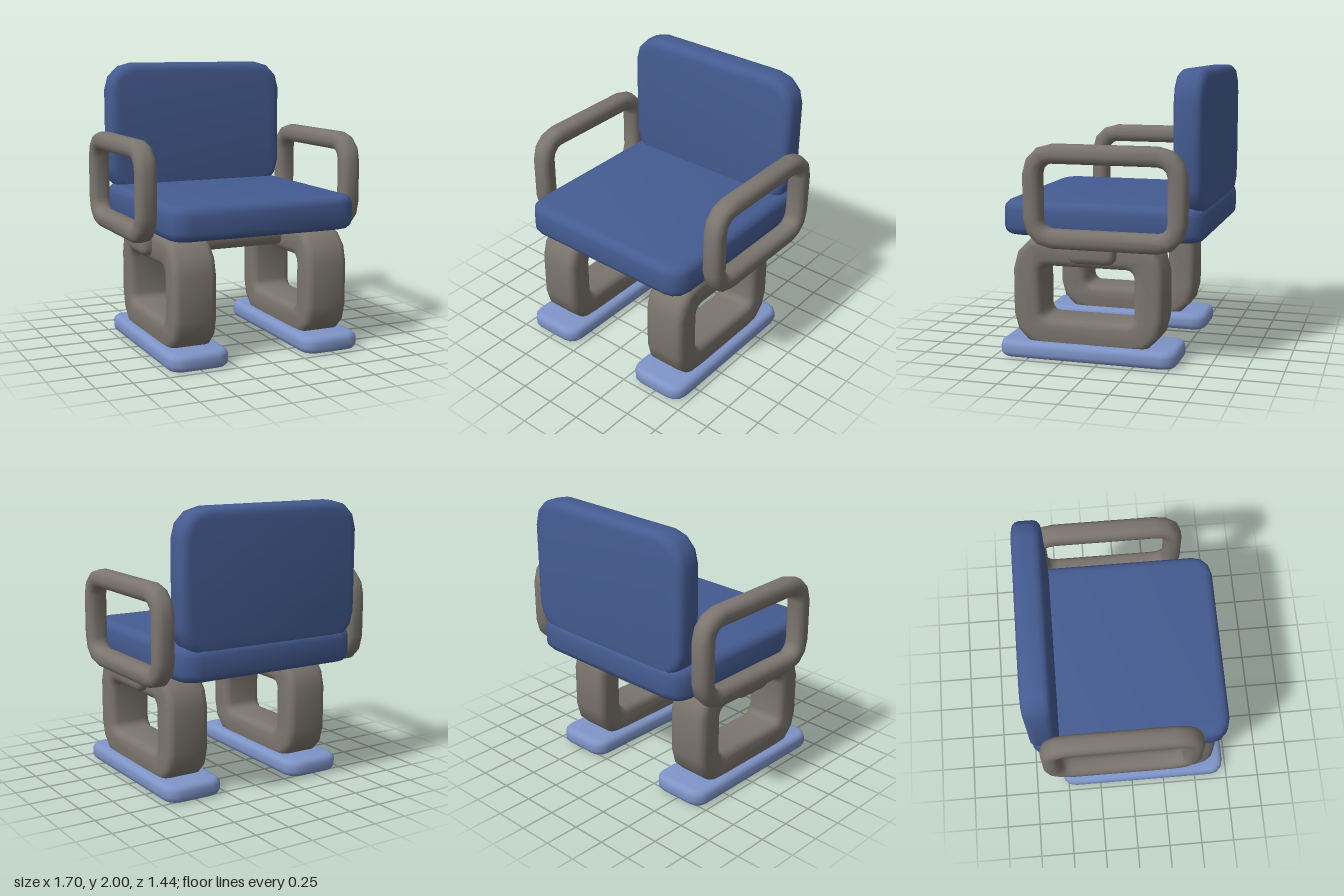
import * as THREE from 'three';
import { toCreasedNormals } from 'three/addons/utils/BufferGeometryUtils.js';

const material = (name, color) => new THREE.MeshStandardMaterial({ name, color });

// Points of a rounded rectangle with three facets on each corner
function roundedRect(w, h, r) {
  const points = [];
  const corners = [[1, 1], [-1, 1], [-1, -1], [1, -1]];
  corners.forEach(([sx, sy], i) => {
    for (let k = 0; k <= 3; k++) {
      const a = (i + k / 3) * Math.PI / 2;
      points.push(new THREE.Vector2(
        sx * (w / 2 - r) + r * Math.cos(a),
        sy * (h / 2 - r) + r * Math.sin(a)));
    }
  });
  return points;
}

// Soft-edged slab or ring, centred on the origin, extruded along the given axis
function softSlab({ w, h, depth, radius, bevel, axis, hole }) {
  const shape = new THREE.Shape(roundedRect(w, h, radius));
  if (hole) shape.holes.push(new THREE.Path(roundedRect(hole.w, hole.h, hole.radius).reverse()));
  const geometry = new THREE.ExtrudeGeometry(shape, {
    depth: depth - 2 * bevel, bevelEnabled: true, bevelSegments: 3,
    bevelSize: bevel, bevelThickness: bevel, bevelOffset: -bevel,
  });
  geometry.translate(0, 0, bevel - depth / 2);
  if (axis === 'x') geometry.rotateY(-Math.PI / 2);
  if (axis === 'y') geometry.rotateX(-Math.PI / 2);
  return toCreasedNormals(geometry, 1);
}

export function createModel() {
  const model = new THREE.Group();
  model.name = 'chair';
  const cushionBlue = material('cushionBlue', 0x455c92);
  const frameGrey = material('frameGrey', 0x7b756e);
  const runnerBlue = material('runnerBlue', 0x7f95c8);

  const add = (name, geometry, mat, x, y, z) => {
    const mesh = new THREE.Mesh(geometry, mat);
    mesh.name = name;
    mesh.position.set(x, y, z);
    model.add(mesh);
  };

  // Cushions
  add('seat', softSlab({ w: 1.4, h: 1.42, depth: 0.24, radius: 0.14, bevel: 0.06, axis: 'y' }),
    cushionBlue, 0, 0.98, -0.01);
  add('backrest', softSlab({ w: 1.4, h: 0.98, depth: 0.2, radius: 0.2, bevel: 0.055, axis: 'z' }),
    cushionBlue, 0, 1.51, -0.61);

  // Bar under the seat
  add('crossbar', softSlab({ w: 0.34, h: 0.18, depth: 1.45, radius: 0.06, bevel: 0.045, axis: 'x' }),
    frameGrey, 0, 0.78, 0.04);

  // Paired loops and runners
  const arm = softSlab({
    w: 1.12, h: 0.7, depth: 0.144, radius: 0.2, bevel: 0.05, axis: 'x',
    hole: { w: 0.86, h: 0.44, radius: 0.07 },
  });
  const leg = softSlab({
    w: 1.07, h: 0.79, depth: 0.314, radius: 0.24, bevel: 0.05, axis: 'x',
    hole: { w: 0.66, h: 0.37, radius: 0.05 },
  });
  const runner = softSlab({ w: 0.44, h: 1.265, depth: 0.12, radius: 0.1, bevel: 0.04, axis: 'y' });
  for (const [side, s] of [['left', 1], ['right', -1]]) {
    add(side + 'Armrest', arm, frameGrey, s * 0.777, 1.16, -0.08);
    add(side + 'Leg', leg, frameGrey, s * 0.502, 0.465, 0.09);
    add(side + 'Runner', runner, runnerBlue, s * 0.5, 0.06, 0.088);
  }
  return model;
}
